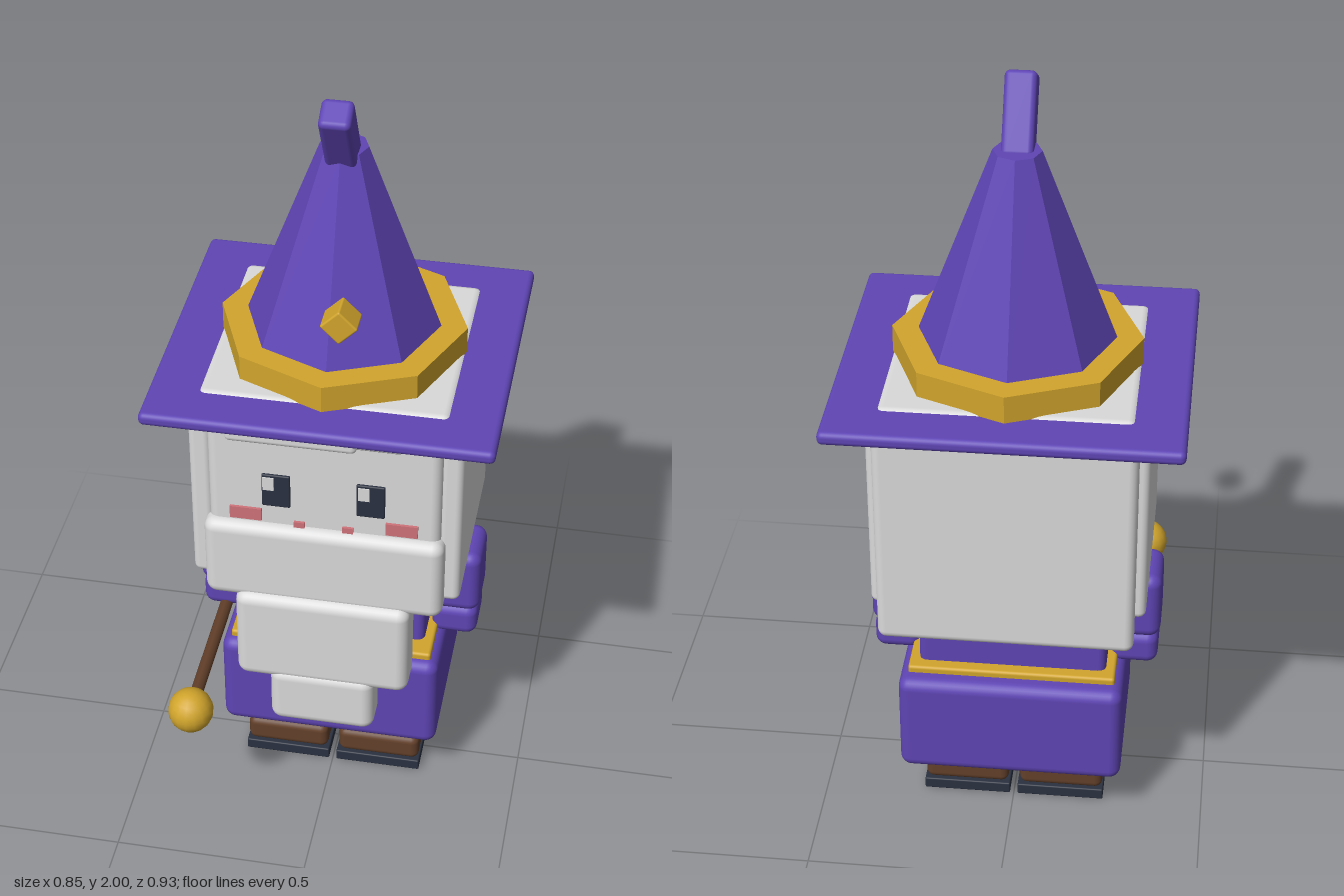
import * as THREE from 'three';
import { RoundedBoxGeometry } from 'three/addons/geometries/RoundedBoxGeometry.js';

const paint = (name, color) => {
  const m = new THREE.MeshStandardMaterial({ color });
  m.name = name;
  return m;
};

export function createModel() {
  const purple = paint('robe purple', 0x5f45b5);
  const darkPurple = paint('legging purple', 0x45348c);
  const gold = paint('gold', 0xd1a52c);
  const white = paint('pale grey', 0xdadada);
  const brown = paint('leather brown', 0x63402a);
  const dark = paint('dark slate', 0x2a3140);
  const pink = paint('blush pink', 0xcf737a);
  const model = new THREE.Group();
  model.name = 'wizard';

  const add = (name, geometry, material, x, y, z) => {
    const mesh = new THREE.Mesh(geometry, material);
    mesh.name = name;
    mesh.position.set(x, y, z);
    model.add(mesh);
    return mesh;
  };
  // Box given by its min and max on each axis; r > 0 rounds the edges
  const box = (name, material, [x0, x1], [y0, y1], [z0, z1], r = 0.02) => {
    const size = [x1 - x0, y1 - y0, z1 - z0];
    const geometry = r > 0 ? new RoundedBoxGeometry(...size, 3, r) : new THREE.BoxGeometry(...size);
    return add(name, geometry, material, (x0 + x1) / 2, (y0 + y1) / 2, (z0 + z1) / 2);
  };
  // Same box on both sides of the body
  const pair = (name, material, [x0, x1], y, z, r) => {
    box('left' + name, material, [x0, x1], y, z, r);
    box('right' + name, material, [-x1, -x0], y, z, r);
  };

  // Feet and legs
  pair('Sole', dark, [0.01, 0.238], [0, 0.032], [-0.185, 0.095], 0.004);
  pair('Boot', brown, [0.015, 0.235], [0.03, 0.105], [-0.18, 0.09], 0.02);
  pair('Leg', darkPurple, [0.028, 0.218], [0.09, 0.2], [-0.172, 0.034], 0.01);

  // Robe
  box('skirt', purple, [-0.287, 0.287], [0.158, 0.44], [-0.293, 0.153], 0.03);
  box('belt', gold, [-0.265, 0.265], [0.42, 0.458], [-0.247, 0.125], 0.008);
  box('torso', purple, [-0.24, 0.24], [0.42, 0.708], [-0.215, 0.072], 0.02);
  box('collar', gold, [-0.2, 0.2], [0.699, 0.735], [-0.245, 0.1], 0.008);
  pair('UpperArm', purple, [0.24, 0.372], [0.515, 0.703], [-0.147, 0.01], 0.03);
  pair('Forearm', purple, [0.247, 0.367], [0.428, 0.522], [-0.14, 0.003], 0.028);

  // Staff held forward in the right hand
  const rod = add('staffRod', new THREE.CylinderGeometry(0.017, 0.017, 0.48, 8), brown, -0.307, 0.434, 0.17);
  rod.rotation.x = Math.PI / 2;
  add('staffOrb', new THREE.SphereGeometry(0.058, 16, 12), gold, -0.307, 0.434, 0.409);

  // Head and hair
  box('head', white, [-0.29, 0.29], [0.71, 1.25], [-0.33, 0.205], 0.025);
  pair('SideHair', white, [0.283, 0.34], [0.708, 1.235], [-0.32, 0.188], 0.018);
  box('backHair', white, [-0.315, 0.315], [0.652, 1.24], [-0.39, -0.325], 0.022);
  box('topHair', white, [-0.308, 0.308], [1.23, 1.296], [-0.36, 0.215], 0.022);
  box('fringe', white, [-0.24, 0.085], [1.172, 1.245], [0.18, 0.235], 0.015);
  box('sideFringe', white, [0.07, 0.2], [1.182, 1.24], [0.18, 0.23], 0.015);

  // Face
  pair('Eye', dark, [0.082, 0.153], [0.97, 1.067], [0.204, 0.213], 0.004);
  pair('Cheek', pink, [0.155, 0.235], [0.92, 0.955], [0.203, 0.212], 0);
  pair('MouthCorner', pink, [0.047, 0.074], [0.9, 0.927], [0.203, 0.212], 0);
  for (const x of [-0.15, 0.087])
    box('eyeGlint', white, [x, x + 0.028], [1.022, 1.06], [0.21, 0.216], 0);

  // Stepped beard
  box('upperBeard', white, [-0.302, 0.302], [0.675, 0.912], [0.128, 0.233], 0.03);
  box('middleBeard', white, [-0.223, 0.223], [0.425, 0.7], [0.135, 0.253], 0.03);
  box('lowerBeard', white, [-0.136, 0.136], [0.283, 0.457], [0.15, 0.258], 0.03);

  // Hat
  const hatZ = -0.073;
  box('hatBrim', purple, [-0.425, 0.425], [1.257, 1.291], [-0.466, 0.32], 0.014);
  const cone = (r0, r1, h) => new THREE.CylinderGeometry(r1, r0, h, 8).toNonIndexed();
  const facet = (geometry) => { geometry.computeVertexNormals(); return geometry; };
  add('hatBand', facet(cone(0.304, 0.304, 0.07)), gold, 0, 1.326, hatZ);
  add('hatCone', facet(cone(0.258, 0.058, 0.528)), purple, 0, 1.576, hatZ);
  const tip = add('hatTip', new RoundedBoxGeometry(0.076, 0.2, 0.076, 3, 0.014), purple, 0, 1.899, -0.012);
  tip.rotation.x = 0.52;
  const gem = add('hatGem', new RoundedBoxGeometry(0.064, 0.064, 0.068, 2, 0.005), gold, 0.046, 1.552, 0.222);
  gem.rotation.z = Math.PI / 4;

  return model;
}
